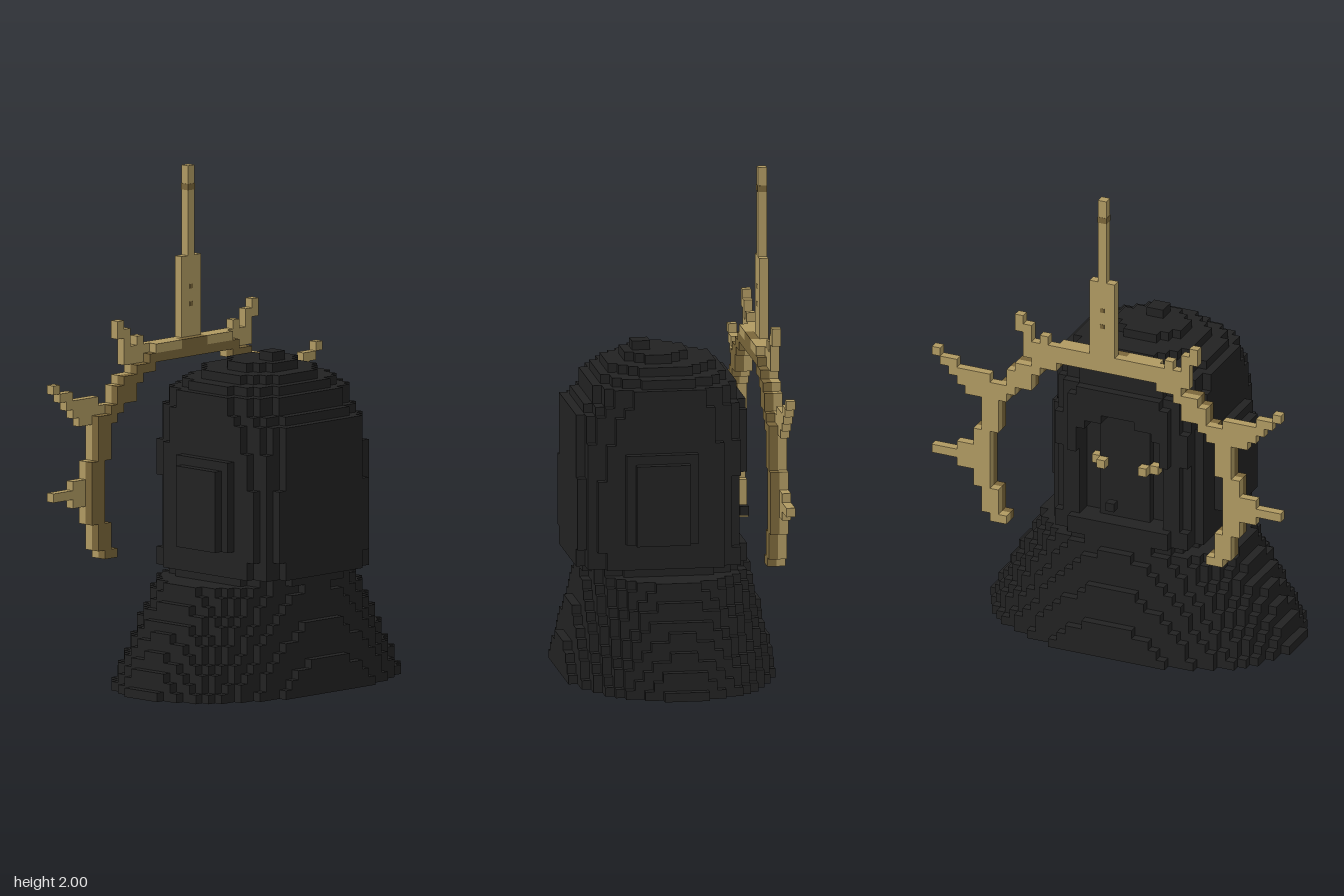
import * as THREE from 'three';

const V = 1 / 28; // size of one cube
const mat = (name, color) => Object.assign(new THREE.MeshStandardMaterial({ color }), { name });

// Cube grid: x index i (x = i), y index j (y = j), z index k (z = k - 11.5), in cube units
class Voxels {
  constructor() { this.cells = new Map(); }
  add(i, j, k) { this.cells.set(`${i},${j},${k}`, [i, j, k]); }
  remove(i, j, k) { this.cells.delete(`${i},${j},${k}`); }
  has(i, j, k) { return this.cells.has(`${i},${j},${k}`); }
  box(x0, x1, y0, y1, k0, k1) {
    for (let i = x0; i < x1; i++) for (let j = y0; j < y1; j++) for (let k = k0; k < k1; k++) this.add(i, j, k);
  }
  mirrored(x0, x1, y0, y1, k0, k1) {
    this.box(x0, x1, y0, y1, k0, k1);
    this.box(-x1, -x0, y0, y1, k0, k1);
  }
  // Only the outer faces of the cubes become geometry
  mesh(name, material) {
    const pos = [];
    for (const c of this.cells.values()) {
      for (let a = 0; a < 3; a++) for (const s of [0, 1]) {
        const n = [...c];
        n[a] += s ? 1 : -1;
        if (this.has(...n)) continue;
        const u = (a + 1) % 3, w = (a + 2) % 3;
        const corner = (du, dw) => {
          const p = [...c];
          p[a] += s; p[u] += du; p[w] += dw;
          return [p[0] * V, p[1] * V, (p[2] - 11.5) * V];
        };
        const q = [corner(0, 0), corner(1, 0), corner(1, 1), corner(0, 1)];
        if (!s) q.reverse();
        for (const t of [0, 1, 2, 0, 2, 3]) pos.push(...q[t]);
      }
    }
    const g = new THREE.BufferGeometry();
    g.setAttribute('position', new THREE.Float32BufferAttribute(pos, 3));
    g.computeVertexNormals();
    const m = new THREE.Mesh(g, material);
    m.name = name;
    return m;
  }
}

// Fill or clear one rounded slice; p sets how square its corners are
function slice(vox, method, j, hx, zb, zf, p) {
  const cz = (zb + zf) / 2, hz = (zf - zb) / 2;
  for (let i = -18; i < 18; i++) for (let k = 0; k < 23; k++) {
    const dx = Math.abs(i + 0.5) / hx, dz = Math.abs(k - 11 - cz) / hz;
    if (dx ** p + dz ** p < 1) vox[method](i, j, k);
  }
}

export function createModel() {
  const black = mat('black cloth', 0x222222);
  const gold = mat('light gold', 0xb09a62);
  const darkGold = mat('dark gold', 0x7a663a);
  const model = new THREE.Group();
  model.name = 'hoodedBust';

  // Flared skirt: a thin elliptical cone, hollow from below and closed at the top
  const skirt = new Voxels();
  for (let j = 0; j < 12; j++) {
    const hx = 17.9 - 0.55 * j, hz = 11.9 - 0.25 * j;
    slice(skirt, 'add', j, hx, -hz, hz, 2.12);
    if (j < 11) slice(skirt, 'remove', j, hx - 1.4, 1.4 - hz, hz - 1.4, 2.12);
  }
  model.add(skirt.mesh('skirt', black));

  // Hood with domed top: [yFrom, yTo, half width, back z, front z, squareness]
  const hood = new Voxels();
  const hoodRows = [
    [12, 13, 8, -8.5, 9.5, 2.8], [13, 15, 9, -8.5, 10.5, 4], [15, 23, 9, -7.5, 10.5, 4.6],
    [23, 27, 9, -8.5, 10.5, 4.6], [27, 30, 9, -8.5, 10.5, 3.6], [30, 31, 9, -8.5, 9.5, 3],
    [31, 33, 9, -7.5, 8.5, 2.7], [33, 34, 8, -6.5, 7.5, 2.4], [34, 35, 6, -5.5, 6.5, 2.2],
    [35, 36, 4, -2.5, 4.5, 2.2],
  ];
  for (const [y0, y1, ...r] of hoodRows) for (let j = y0; j < y1; j++) slice(hood, 'add', j, ...r);
  hood.box(-1, 1, 36, 37, 13, 15);
  // Arched face opening at the back, with a curved face
  for (let i = -5; i < 5; i++) {
    const side = Math.abs(i + 0.5);
    const top = 28 - Math.floor(side / 2), depth = side > 3 ? 6 : 5;
    for (let j = 15; j < top; j++) for (let k = 0; k < depth; k++) hood.remove(i, j, k);
  }
  // Ear panels
  hood.mirrored(9, 10, 16, 26, 9, 17);
  hood.mirrored(10, 11, 16, 25, 10, 16);
  model.add(hood.mesh('hood', black));

  const nub = new Voxels();
  nub.box(0, 1, 17, 18, 2, 3);
  model.add(nub.mesh('faceNub', black));

  // Eyes step back around the curved face
  const eyes = new Voxels();
  eyes.mirrored(2, 3, 21, 22, 4, 5);
  eyes.mirrored(3, 4, 21, 22, 5, 6);
  model.add(eyes.mesh('eyes', gold));

  // Halo ring: dark front layer, light back layer
  const front = new Voxels(), back = new Voxels();
  const arc = [
    [0, 7, 35, 36], [6, 9, 34, 35], [8, 11, 33, 34], [9, 12, 31, 33], [11, 13, 30, 31],
    [12, 15, 29, 30], [13, 15, 25, 29], [14, 16, 18, 25], [13, 15, 15, 18], [12, 14, 14, 15],
  ];
  for (const r of arc) {
    front.mirrored(...r, 1, 2);
    back.mirrored(...r, 0, 1);
  }
  front.mirrored(0, 2, 36, 37, 1, 2);
  model.add(front.mesh('haloFront', darkGold));

  // Horns and rays of the halo
  const rays = [
    [10, 11, 38, 40], [9, 10, 35, 39], [8, 9, 35, 37], [7, 8, 35, 38],
    [20, 21, 33, 34], [18, 20, 32, 33], [14, 19, 31, 32], [13, 18, 30, 31], [15, 17, 29, 30],
    [18, 21, 21, 22], [16, 18, 20, 23],
  ];
  for (const r of rays) back.mirrored(...r, 0, 1);
  // Top rail
  back.mirrored(0, 7, 36, 37, 0, 1);
  back.mirrored(2, 6, 36, 37, 1, 2);
  // Centre post and spire
  back.box(-1, 2, 37, 46, 0, 1);
  back.box(0, 1, 46, 56, 0, 1);
  model.add(back.mesh('haloBack', gold));

  // Dark studs on the post and a band on the spire
  const detail = (name, y, w, h) => {
    const m = new THREE.Mesh(new THREE.BoxGeometry(w, h, V + 0.002), darkGold);
    m.name = name;
    m.position.set(V / 2, y, -11 * V);
    model.add(m);
  };
  detail('postStud', 1.45, 0.018, 0.018);
  detail('postStud', 1.52, 0.018, 0.018);
  detail('spireBand', 1.915, V + 0.002, 0.025);
  return model;
}
